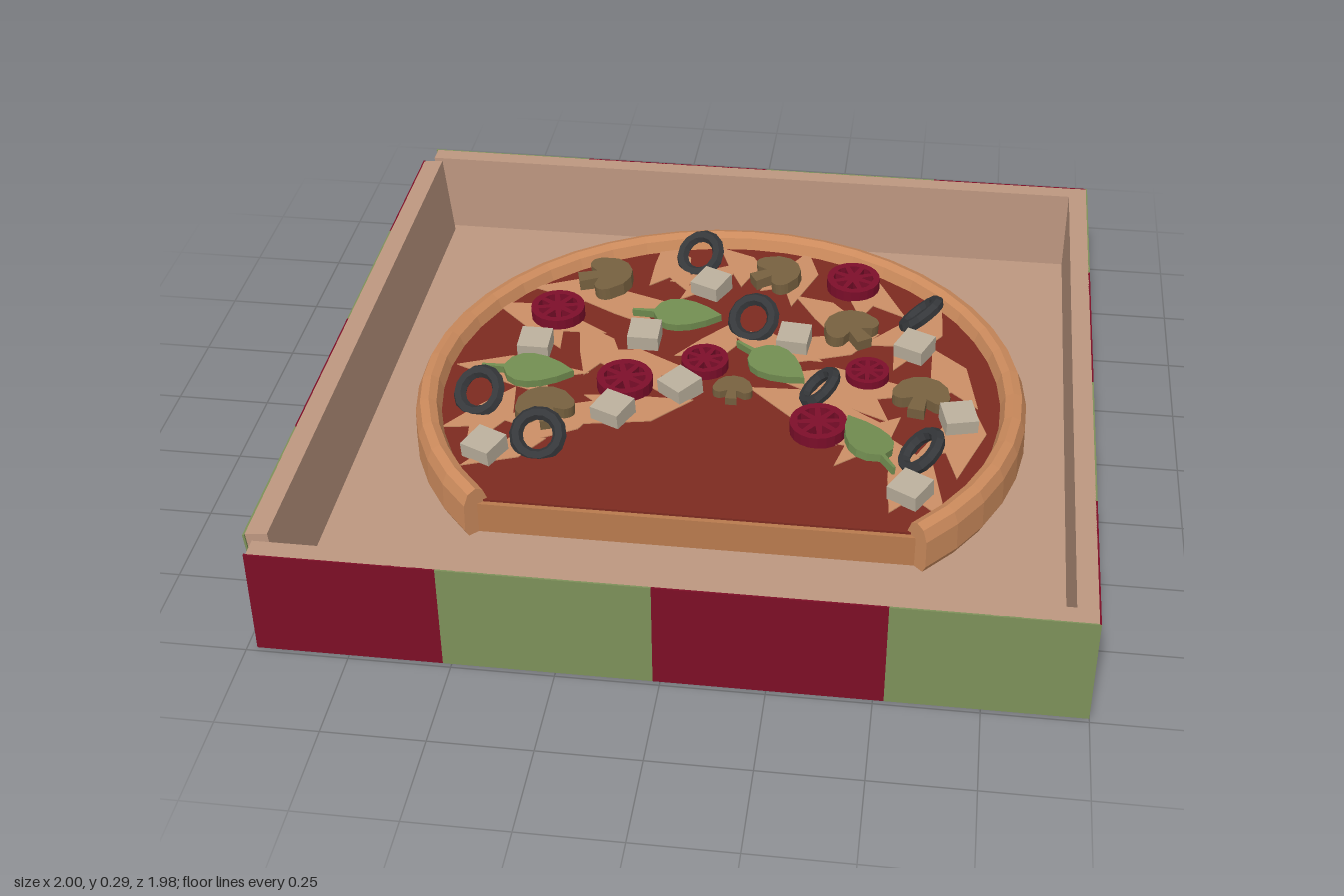
import * as THREE from 'three';

const COLORS = {
  card: 0xbd9780, red: 0x7c0e26, green: 0x7c9059, crust: 0xcb8a5c, dough: 0xb87a4e, sauce: 0x7c2a20,
  cheese: 0xcb8f66, tomato: 0x7c0e2a, olive: 0x35373a, mushroom: 0x76603f, leaf: 0x718c50, cube: 0xb9ae9b,
};
const mats = {};
for (const [key, color] of Object.entries(COLORS)) {
  mats[key] = new THREE.MeshStandardMaterial({ color, flatShading: true });
}
mats.crust.side = THREE.DoubleSide;

const TOP = 0.172; // height of the sauce surface

function add(parent, name, geometry, mat, x = 0, y = 0, z = 0) {
  const mesh = new THREE.Mesh(geometry, mats[mat]);
  mesh.name = name;
  mesh.position.set(x, y, z);
  parent.add(mesh);
  return mesh;
}

// Flat plate lying in the xz plane (shape y becomes z), standing on y = 0
function plate(shape, depth, curveSegments = 8) {
  return new THREE.ExtrudeGeometry(shape, { depth, bevelEnabled: false, curveSegments })
    .rotateX(Math.PI / 2).translate(0, depth, 0);
}

// Cardboard wall with four coloured panels on the outside (local +z is outward)
function wall(name, length, thick, x, z, turn, tilt = 0) {
  const g = new THREE.Group();
  g.name = name;
  const h = 0.285;
  add(g, 'cardboardWall', new THREE.BoxGeometry(length - 0.01, h, thick), 'card', 0, h / 2, -thick / 2 - 0.004);
  const cuts = [0, 0.23, 0.485, 0.76, 1];
  for (let i = 0; i < 4; i++) {
    const w = (cuts[i + 1] - cuts[i]) * length;
    add(g, 'wallPanel', new THREE.BoxGeometry(w, h, 0.005), i % 2 ? 'green' : 'red',
      (cuts[i] - 0.5) * length + w / 2, h / 2, -0.0025);
  }
  g.rotation.set(tilt, turn, 0, 'YXZ');
  g.position.set(x, 0, z);
  return g;
}

// Pie shape with the front quarter missing
function sector(r) {
  const s = new THREE.Shape();
  s.moveTo(0, 0);
  s.absarc(0, 0, r, Math.PI * 0.75, Math.PI * 2.25, false);
  s.closePath();
  return s;
}

function pizzaBase() {
  const g = new THREE.Group();
  g.name = 'pizzaBase';
  add(g, 'dough', plate(sector(0.77), 0.086, 34), 'dough', 0, 0.08, 0);
  add(g, 'sauce', plate(sector(0.752), 0.006, 34), 'sauce', 0, 0.166, 0);
  // Raised rim with its two cut ends
  const profile = [[0.74, 0.08], [0.8, 0.08], [0.81, 0.1], [0.808, 0.175], [0.795, 0.205], [0.772, 0.214],
    [0.752, 0.203], [0.74, 0.172], [0.74, 0.08]].map(p => new THREE.Vector2(...p));
  add(g, 'crust', new THREE.LatheGeometry(profile, 34, Math.PI / 4, Math.PI * 1.5), 'crust');
  for (const side of [-1, 1]) {
    const end = add(g, 'crustEnd', new THREE.ShapeGeometry(new THREE.Shape(profile)), 'crust');
    end.rotation.y = side > 0 ? -Math.PI / 4 : -Math.PI * 0.75;
  }
  return g;
}

// Melted cheese: pointed patches [x, z, angle in degrees, length]
function cheese() {
  const patches = [
    [-0.19, -0.58, 75, 0.3], [0.02, -0.6, 50, 0.26], [0.17, -0.56, 100, 0.3], [0.38, -0.5, 55, 0.32],
    [-0.08, -0.52, 130, 0.26], [-0.29, -0.36, 10, 0.34], [-0.43, -0.42, 140, 0.34], [-0.5, -0.25, 25, 0.36],
    [-0.33, -0.12, 60, 0.3], [-0.52, 0.01, 5, 0.36], [-0.57, 0.22, 110, 0.3], [-0.4, 0.22, 140, 0.36],
    [-0.2, 0.14, 160, 0.34], [-0.2, -0.06, 20, 0.34], [-0.02, -0.18, 110, 0.28], [0.14, -0.19, 30, 0.3],
    [0.36, -0.02, 10, 0.44], [0.3, -0.22, 150, 0.3], [0.52, -0.3, 115, 0.36], [0.63, -0.1, 70, 0.3],
    [0.66, 0.17, 100, 0.34], [0.55, 0.36, 70, 0.36], [0.28, 0.09, 25, 0.4], [0.42, 0.2, 130, 0.28],
    [-0.5, 0.36, 150, 0.24], [0.28, -0.38, 40, 0.26],
  ];
  const shapes = patches.map(([x, z, deg, len]) => {
    const a = THREE.MathUtils.degToRad(deg), c = Math.cos(a), s = Math.sin(a);
    const kite = [[-0.5, 0], [-0.12, -0.2], [0.5, -0.1], [0.2, 0.05], [0.32, 0.26], [-0.05, 0.16]];
    return new THREE.Shape(kite.map(([u, v]) =>
      new THREE.Vector2(x + len * (u * c - v * s), z + len * (u * s + v * c))));
  });
  return plate(shapes, 0.004);
}

// Tomato slice: disc with wedge-shaped openings
function tomatoSlice() {
  const s = new THREE.Shape();
  s.absarc(0, 0, 0.075, 0, Math.PI * 2, false);
  for (let i = 0; i < 8; i++) {
    const a = (i * Math.PI) / 4, hole = new THREE.Path();
    const pt = (r, d) => new THREE.Vector2(r * Math.cos(a + d), r * Math.sin(a + d));
    hole.setFromPoints([pt(0.022, 0), pt(0.055, 0.27), pt(0.057, 0), pt(0.055, -0.27)]);
    s.holes.push(hole);
  }
  return plate(s, 0.036, 10);
}

// Mushroom slice with the cap towards -z and the stem towards +z
function mushroomSlice() {
  const s = new THREE.Shape();
  s.moveTo(-0.025, 0.08);
  s.lineTo(-0.02, 0.025);
  s.lineTo(-0.05, 0.04);
  s.quadraticCurveTo(-0.09, 0.04, -0.085, 0);
  s.bezierCurveTo(-0.07, -0.1, 0.07, -0.1, 0.085, 0);
  s.quadraticCurveTo(0.09, 0.04, 0.05, 0.04);
  s.lineTo(0.02, 0.025);
  s.lineTo(0.025, 0.08);
  s.closePath();
  return plate(s, 0.036, 6);
}

// Leaf with its tip towards +x and a thin stalk towards -x
function leafBlade() {
  const s = new THREE.Shape();
  s.moveTo(-0.14, -0.004);
  s.lineTo(-0.08, -0.006);
  s.bezierCurveTo(-0.06, -0.085, 0.03, -0.07, 0.11, 0);
  s.bezierCurveTo(0.03, 0.07, -0.06, 0.085, -0.08, 0.006);
  s.lineTo(-0.14, 0.004);
  s.closePath();
  return plate(s, 0.022, 6);
}

// Each topping: geometry, lift, tilt and placements [x, z, angle in degrees, scale]
function toppings() {
  const g = new THREE.Group();
  g.name = 'toppings';
  const kinds = [
    ['tomatoSlice', 'tomato', tomatoSlice(), 0, 0.05,
      [[0.34, -0.53, 0, 1], [-0.47, -0.28, 10, 1], [-0.03, -0.08, 0, 0.85], [0.41, -0.08, 20, 0.78],
        [-0.23, 0.04, 5, 1], [0.3, 0.18, 15, 1]]],
    ['oliveRing', 'olive', new THREE.TorusGeometry(0.057, 0.018, 6, 14).rotateX(Math.PI / 2), 0.035, 0.75,
      [[-0.11, -0.6, 30, 1], [0.08, -0.28, 20, 1], [0.54, -0.36, 110, 1], [0.29, 0.03, 90, 0.92],
        [-0.6, 0.16, 25, 1], [-0.41, 0.33, 0, 1], [0.57, 0.28, 85, 1]]],
    ['mushroomSlice', 'mushroom', mushroomSlice(), 0.004, 0.08,
      [[-0.36, -0.46, 75, 1], [0.12, -0.54, 60, 0.92], [0.35, -0.28, -35, 0.92], [0.56, 0.02, 10, 0.9],
        [-0.42, 0.19, -20, 0.92], [0.06, 0.04, 0, 0.62]]],
    ['herbLeaf', 'leaf', leafBlade(), 0.014, 0.1,
      [[-0.12, -0.29, 0, 1], [-0.48, 0.03, 0, 1], [0.16, -0.08, 38, 1], [0.43, 0.24, 238, 1]]],
    ['cheeseCube', 'cube', new THREE.BoxGeometry(0.085, 0.05, 0.085), 0.022, 0.1,
      [[-0.06, -0.46, 25, 1], [-0.21, -0.18, 0, 1], [0.2, -0.21, 5, 1], [0.53, -0.21, 25, 1], [-0.5, -0.1, 0, 1],
        [-0.08, 0.05, 40, 1], [0.66, 0.11, -15, 1], [-0.24, 0.18, 25, 1], [-0.54, 0.38, 25, 1], [0.55, 0.43, 30, 1]]],
  ];
  for (const [name, mat, geometry, lift, tilt, places] of kinds) {
    for (const [x, z, deg, scale] of places) {
      const m = add(g, name, geometry, mat, x, TOP + lift, z);
      m.rotation.set(tilt, -THREE.MathUtils.degToRad(deg), 0, 'YXZ');
      m.scale.setScalar(scale);
    }
  }
  return g;
}

export function createModel() {
  const model = new THREE.Group();
  model.name = 'pizzaInBox';

  // Open box: floor, three upright walls and a looser one leaning outwards
  const box = new THREE.Group();
  box.name = 'box';
  add(box, 'boxFloor', new THREE.BoxGeometry(1.965, 0.05, 1.965), 'card', 0.012, 0.026, 0);
  box.add(wall('frontWall', 1.976, 0.05, 0.012, 0.988, 0));
  box.add(wall('rightWall', 1.976, 0.05, 1, 0, Math.PI / 2));
  box.add(wall('backWall', 1.976, 0.05, 0.012, -0.988, Math.PI));
  box.add(wall('leftWall', 1.83, 0.056, -0.972, 0, -Math.PI / 2, 0.1));
  model.add(box);

  // Pizza with a quarter taken out
  const base = pizzaBase();
  base.position.set(0.028, 0, 0.038);
  model.add(base);
  add(model, 'meltedCheese', cheese(), 'cheese', 0, TOP - 0.001, 0);
  model.add(toppings());
  return model;
}
